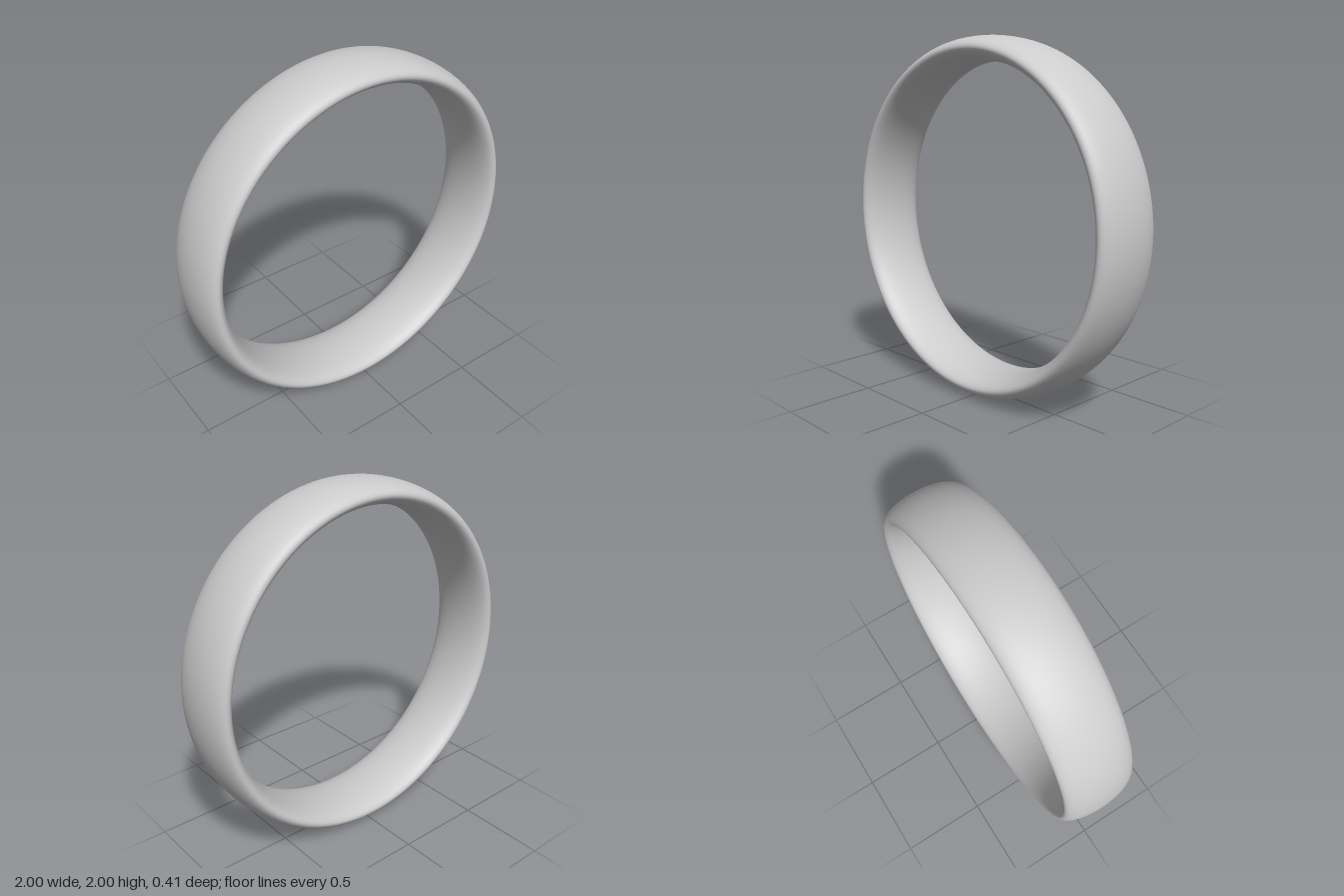
import * as THREE from 'three';

export function createModel() {
  const group = new THREE.Group();
  const material = new THREE.MeshStandardMaterial({ color: 0xcccccc });

  // Plain band: an elliptical section, wide along z, swept round a circle
  const midRadius = 0.93, halfThickness = 0.07, halfWidth = 0.205;
  const geometry = new THREE.TorusGeometry(midRadius, halfThickness, 48, 160);
  geometry.scale(1, 1, halfWidth / halfThickness);

  const band = new THREE.Mesh(geometry, material);
  band.name = 'ringBand';
  band.position.y = midRadius + halfThickness;
  group.add(band);
  return group;
}
